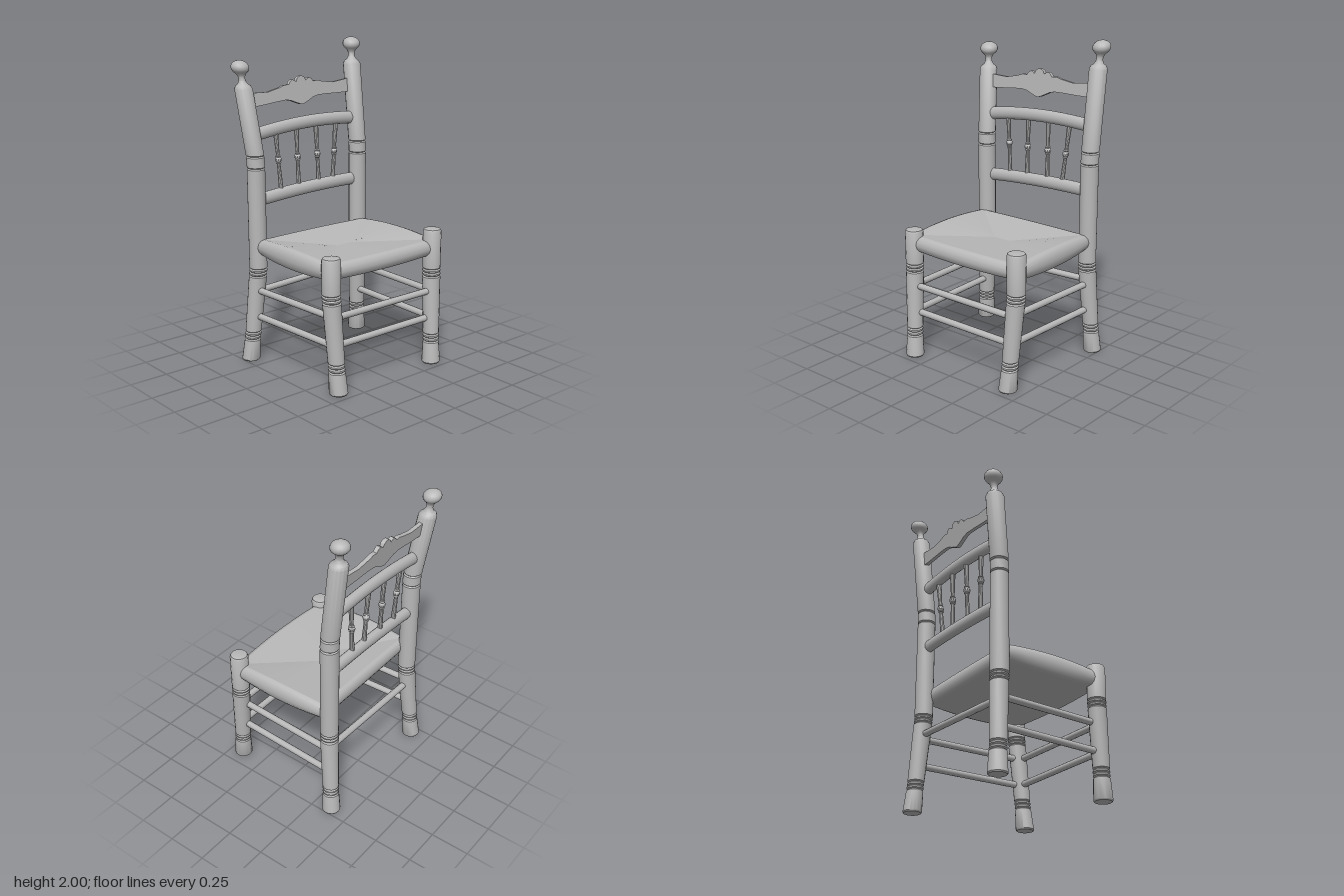
import * as THREE from 'three';
import { toCreasedNormals } from 'three/addons/utils/BufferGeometryUtils.js';

const wood = new THREE.MeshStandardMaterial({ color: 0xb8b8b8 });
wood.name = 'plain grey wood';

export function createModel() {
  const chair = new THREE.Group();
  chair.name = 'chair';

  const add = (name, geo, crease = 0.6) => {
    const mesh = new THREE.Mesh(toCreasedNormals(geo, crease), wood);
    mesh.name = name;
    chair.add(mesh);
  };

  // Turned post: a lathe profile [radius, y] whose centre follows an axis [y, x, z]
  const turned = (name, profile, axis, sides = 16) => {
    const geo = new THREE.LatheGeometry(profile.map(([r, y]) => new THREE.Vector2(r, y)), sides);
    const p = geo.attributes.position;
    for (let i = 0; i < p.count; i++) {
      const y = p.getY(i);
      let k = 0;
      while (k < axis.length - 2 && y > axis[k + 1][0]) k++;
      const a = axis[k], b = axis[k + 1], t = (y - a[0]) / (b[0] - a[0]);
      p.setX(i, p.getX(i) + a[1] + (b[1] - a[1]) * t);
      p.setZ(i, p.getZ(i) + a[2] + (b[2] - a[2]) * t);
    }
    geo.computeVertexNormals();
    add(name, geo);
  };

  // Narrow grooves cut into a post of radius r at the given heights
  const grooves = (r, ...heights) =>
    heights.flatMap((y) => [[r, y - 0.007], [r - 0.008, y], [r, y + 0.007]]);

  // Foot, ankle rings and the rings below the seat, shared by all four legs
  const legProfile = [
    [0, 0], [0.053, 0], [0.058, 0.008], [0.052, 0.125],
    ...grooves(0.051, 0.142, 0.165, 0.188), ...grooves(0.057, 0.564, 0.586, 0.608),
  ];

  // Front legs with softly rounded tops
  for (const [name, foot, cx, top] of [['rightFrontLeg', -0.378, -0.4, 0.835], ['leftFrontLeg', 0.393, 0.423, 0.867]]) {
    turned(name, [...legProfile, [0.058, top - 0.015], [0.052, top - 0.003], [0.042, top], [0, top]],
      [[0, foot, 0.415], [0.6, cx, 0.375], [1, cx, 0.375]]);
  }

  // Back posts, leaning back above the middle band, each with a ball finial
  const backPost = (name, top, axis) => {
    const ball = [];
    for (let i = 1; i <= 10; i++) {
      const a = -Math.PI / 2 + 0.5 + (Math.PI - 0.5) * (i / 10);
      ball.push([Math.max(0, 0.057 * Math.cos(a)), top + 0.129 + 0.043 * Math.sin(a)]);
    }
    turned(name, [
      ...legProfile, ...grooves(0.057, 1.25, 1.325), [0.057, top], [0.048, top + 0.018],
      [0.033, top + 0.028], [0.021, top + 0.05], [0.021, top + 0.072], [0.029, top + 0.088], ...ball,
    ], axis);
  };
  backPost('rightBackPost', 1.735,
    [[0, -0.448, -0.37], [0.6, -0.405, -0.332], [1.3, -0.407, -0.334], [1.75, -0.445, -0.397], [1.9, -0.457, -0.418]]);
  backPost('leftBackPost', 1.829,
    [[0, 0.452, -0.37], [0.6, 0.422, -0.332], [1.3, 0.423, -0.334], [1.85, 0.425, -0.397], [2, 0.438, -0.416]]);

  // Round stretchers between the legs
  const rod = (name, a, b) => {
    const curve = new THREE.LineCurve3(new THREE.Vector3(...a), new THREE.Vector3(...b));
    add(name, new THREE.TubeGeometry(curve, 1, 0.021, 12));
  };
  for (const y of [0.295, 0.469]) {
    rod('frontStretcher', [-0.39, y, 0.39], [0.4, y, 0.39]);
    rod('rightSideStretcher', [-0.39, y, 0.38], [-0.42, y, -0.34]);
    rod('leftSideStretcher', [0.405, y, 0.38], [0.43, y, -0.34]);
  }
  rod('backStretcher', [-0.41, 0.455, -0.34], [0.425, 0.49, -0.34]);

  // Bowed back rails, slightly flattened front to back
  const rail = (name, y0, yMid, y1, z) => {
    const curve = new THREE.QuadraticBezierCurve3(
      new THREE.Vector3(-0.4, y0, 0),
      new THREE.Vector3(0, 2 * yMid - (y0 + y1) / 2, 0),
      new THREE.Vector3(0.41, y1, 0));
    const geo = new THREE.TubeGeometry(curve, 16, 0.041, 16);
    geo.scale(1, 1, 0.75);
    geo.translate(0, 0, z);
    add(name, geo);
  };
  rail('lowerBackRail', 1.043, 1.071, 1.075, -0.337);
  rail('upperBackRail', 1.45, 1.491, 1.48, -0.356);

  // Turned spindles between the rails
  const spindle = [
    [0.015, 1.07], [0.015, 1.12], [0.012, 1.235], [0.012, 1.25], [0.018, 1.256], [0.014, 1.262],
    [0.021, 1.272], [0.021, 1.284], [0.014, 1.294], [0.018, 1.3], [0.012, 1.306], [0.012, 1.32],
    [0.016, 1.43], [0.016, 1.48],
  ];
  for (const [xb, xt] of [[-0.213, -0.237], [-0.071, -0.073], [0.093, 0.085], [0.212, 0.248]]) {
    turned('spindle', spindle, [[1.1, xb, -0.338], [1.44, xt, -0.353]], 10);
  }

  // Carved crest board: half an outline, mirrored, then sloped with the posts
  const topEdge = [
    [0.4, 1.722], [0.26, 1.712], [0.17, 1.728], [0.13, 1.74], [0.098, 1.737], [0.085, 1.755],
    [0.068, 1.765], [0.052, 1.76], [0.038, 1.748], [0.03, 1.768], [0.015, 1.779],
  ];
  const bottomEdge = [
    [0.012, 1.605], [0.05, 1.62], [0.09, 1.638], [0.13, 1.645], [0.2, 1.643], [0.3, 1.637], [0.4, 1.634],
  ];
  const flip = (pts) => pts.map(([x, y]) => [-x, y]).reverse();
  const outline = [...topEdge, [0, 1.782], ...flip(topEdge), ...flip(bottomEdge), [0, 1.603], ...bottomEdge];
  const crest = new THREE.ExtrudeGeometry(
    new THREE.Shape(outline.map(([x, y]) => new THREE.Vector2(x - 0.012, y - 1.69 + 0.04 * x))),
    { depth: 0.026, bevelEnabled: false });
  crest.translate(0, 0, -0.013);
  crest.rotateX(-0.11);
  crest.translate(0, 1.69, -0.386);
  add('crestBoard', crest, 0.5);

  // Seat: rings [scale, y] shrinking from a bulging outline to a short ridge,
  // thickest along the sides and dished towards the middle
  const corners = [[0.46, 0.402], [-0.437, 0.402], [-0.437, -0.315], [0.46, -0.315]];
  const bulge = [[0, 0.023, 0.1], [-0.018, 0, 0.4], [0, 0, 0.1], [0.015, 0, 0.4]]; // x, z, crown
  const steps = 10;
  const seatOutline = [];
  corners.forEach(([x, z], k) => {
    const [nx, nz] = corners[(k + 1) % 4], [bx, bz, crown] = bulge[k];
    for (let i = 0; i < steps; i++) {
      const t = i / steps, b = 4 * t * (1 - t);
      seatOutline.push([x + (nx - x) * t + bx * b, z + (nz - z) * t + bz * b, 1 + crown * b]);
    }
  });
  const seatPart = (name, rows, crease) => {
    const n = seatOutline.length, pos = [], index = [];
    rows.forEach(([s, y], i) => seatOutline.forEach(([x, z, thick], j) => {
      const rx = 0.012 + (x - 0.012) * 0.13, rz = 0.015;
      const pz = rz + (z - rz) * s;
      pos.push(rx + (x - rx) * s, 0.75 + (y - 0.75) * (1 + (thick - 1) * s) - 0.015 * pz, pz);
      if (i < rows.length - 1) {
        const a = i * n + j, d = i * n + (j + 1) % n, b = a + n, c = d + n;
        index.push(a, c, b, a, d, c);
      }
    }));
    const geo = new THREE.BufferGeometry();
    geo.setAttribute('position', new THREE.Float32BufferAttribute(pos, 3));
    geo.setIndex(index);
    geo.computeVertexNormals();
    add(name, geo, crease);
  };
  seatPart('seatTop', [[0, 0.765], [0.9, 0.798]], 0.06);
  seatPart('seatEdge', [
    [0.9, 0.798], [0.95, 0.792], [0.985, 0.774], [1, 0.75],
    [0.985, 0.726], [0.95, 0.708], [0.9, 0.702],
  ], 0.9);
  seatPart('seatUnderside', [[0.9, 0.702], [0, 0.694]], 0.06);

  return chair;
}
